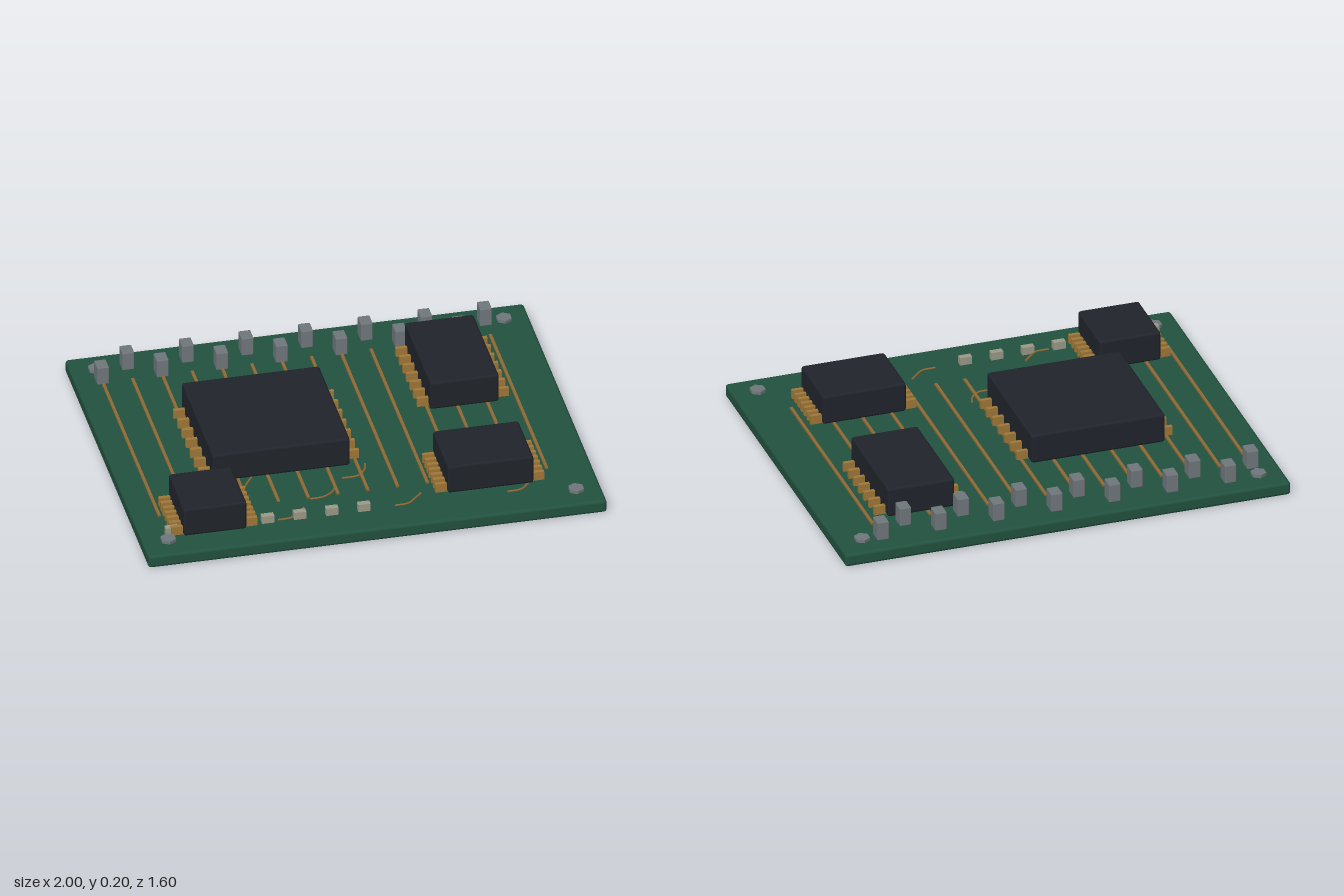
import * as THREE from 'three';
import { RoundedBoxGeometry } from 'three/addons/geometries/RoundedBoxGeometry.js';

const TOP = 0.06; // upper face of the board

const mat = (color) => new THREE.MeshStandardMaterial({ color });

export function createModel() {
  const model = new THREE.Group();
  const green = mat(0x22523f), black = mat(0x20242b), copper = mat(0xa07838);
  const steel = mat(0x70787c), ceramic = mat(0x9c9a88), trackCopper = mat(0x8f6a36);

  const add = (name, geometry, material, x, y, z, parent = model) => {
    const mesh = new THREE.Mesh(geometry, material);
    mesh.name = name;
    mesh.position.set(x, y, z);
    parent.add(mesh);
    return mesh;
  };

  // Board with softened edges
  add('board', new RoundedBoxGeometry(2, TOP, 1.6, 2, 0.014), green, 0, TOP / 2, 0);

  // Chips with a row of seven legs on the left and right
  const chips = [
    { name: 'mainChip', x: [-0.605, -0.005], z: [-0.3, 0.295], pins: [-0.24, 0.235] },
    { name: 'tallChip', x: [0.425, 0.725], z: [-0.55, -0.055], pins: [-0.505, -0.1] },
    { name: 'wideChip', x: [0.35, 0.725], z: [0.31, 0.605], pins: [0.337, 0.577] },
    { name: 'smallChip', x: [-0.82, -0.545], z: [0.39, 0.685], pins: [0.42, 0.657] },
  ];
  const legGeometry = new THREE.BoxGeometry(0.1, 0.04, 0.018);
  for (const { name, x, z, pins } of chips) {
    const chip = new THREE.Group();
    chip.name = name;
    model.add(chip);
    const body = new RoundedBoxGeometry(x[1] - x[0], 0.135, z[1] - z[0], 2, 0.012);
    add('chipBody', body, black, (x[0] + x[1]) / 2, 0.1325, (z[0] + z[1]) / 2, chip);
    for (let i = 0; i < 7; i++) {
      const pz = THREE.MathUtils.lerp(pins[0], pins[1], i / 6);
      for (const px of x) add('chipLeg', legGeometry, copper, px, 0.085, pz, chip);
    }
  }

  // Staggered contact posts along the back, each column with a straight track
  const postGeometry = new RoundedBoxGeometry(0.052, 0.085, 0.066, 1, 0.004);
  const trackGeometry = new THREE.BoxGeometry(0.013, 0.012, 1.08);
  for (let i = 0; i < 14; i++) {
    const x = -0.885 + i * 0.13;
    add('contactPost', postGeometry, steel, x, 0.1025, i % 2 ? -0.69 : -0.602);
    add('straightTrack', trackGeometry, trackCopper, x, 0.062, -0.04);
  }

  // Fine bent tracks
  const bends = [
    [[-0.56, 0.42], [-0.51, 0.41], [-0.47, 0.34], [-0.43, 0.28]],
    [[-0.23, 0.51], [-0.17, 0.505], [-0.12, 0.47], [-0.1, 0.42]],
    [[-0.06, 0.38], [0.01, 0.375], [0.05, 0.33], [0.06, 0.29]],
    [[-0.4, 0.64], [-0.34, 0.635], [-0.3, 0.6], [-0.27, 0.57]],
    [[0.11, 0.64], [0.17, 0.635], [0.21, 0.6], [0.24, 0.57]],
    [[0.6, 0.64], [0.66, 0.635], [0.69, 0.61], [0.72, 0.57]],
  ];
  for (const points of bends) {
    const path = new THREE.CatmullRomCurve3(points.map(([x, z]) => new THREE.Vector3(x, 0, z)));
    add('bentTrack', new THREE.TubeGeometry(path, 14, 0.005, 6), trackCopper, 0, 0.062, 0);
  }

  // Row of small surface parts along the front
  const partGeometry = new THREE.BoxGeometry(0.054, 0.035, 0.028);
  for (let i = 0; i < 7; i++) {
    add('surfacePart', partGeometry, ceramic, -0.865 + i * 0.14, 0.0775, 0.64);
  }

  // Six-sided screw heads in the corners
  const screwGeometry = new THREE.CylinderGeometry(0.035, 0.035, 0.02, 6);
  const screwMaterial = steel.clone();
  screwMaterial.flatShading = true;
  for (const x of [-0.89, 0.89]) {
    for (const z of [-0.69, 0.69]) add('cornerScrew', screwGeometry, screwMaterial, x, 0.064, z);
  }
  return model;
}
